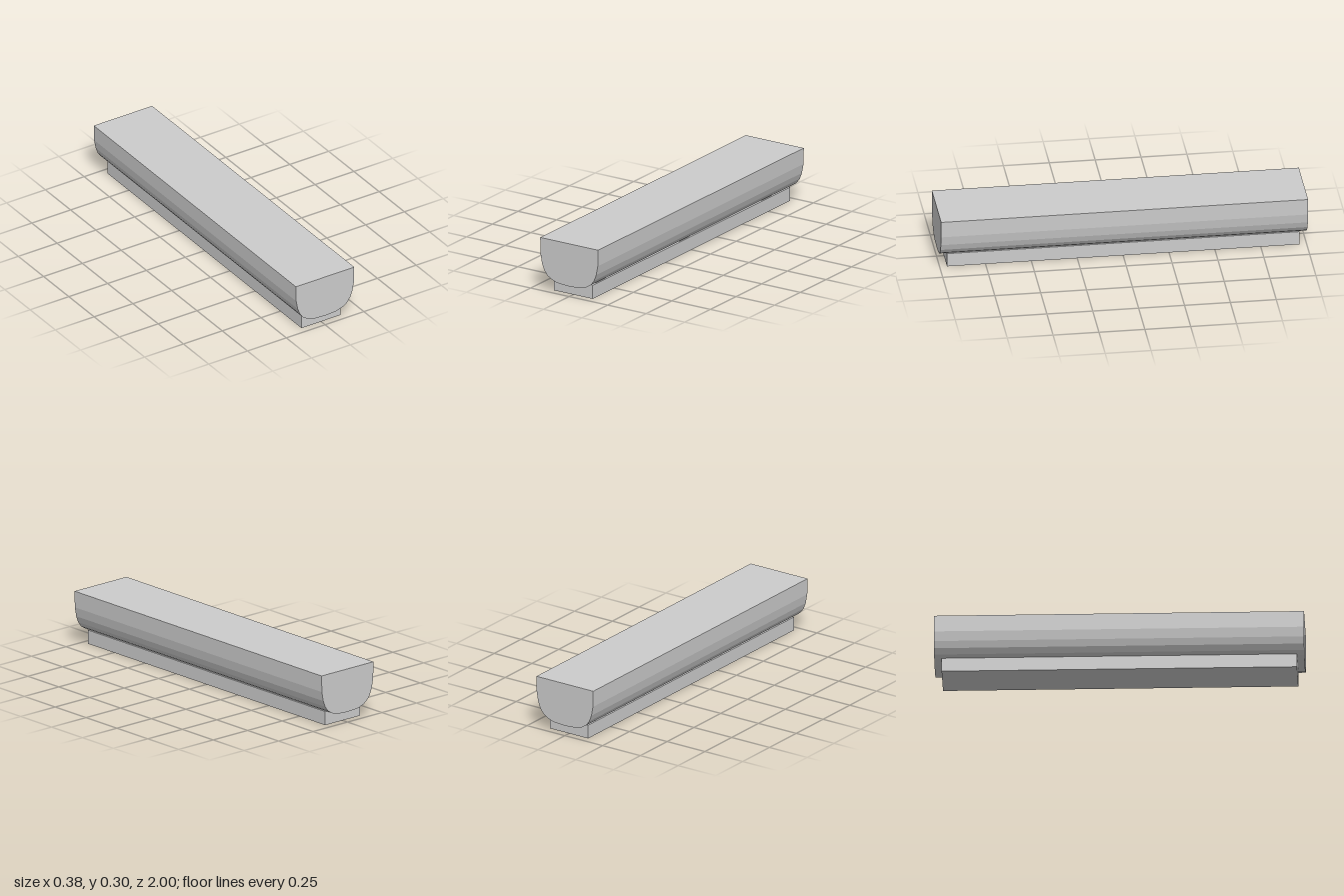
import * as THREE from 'three';

export function createModel() {
  const group = new THREE.Group();
  const grey = new THREE.MeshStandardMaterial({ color: 0xcccccc });
  grey.name = 'light grey';

  // Half cross-section of the rounded beam, from the top edge down to the middle
  const half = [
    [0.188, 0.302], [0.186, 0.21], [0.176, 0.157], [0.162, 0.121],
    [0.141, 0.093], [0.113, 0.075], [0.077, 0.063], [0.038, 0.06],
  ];
  const mirrored = half.map(([x, y]) => [-x, y]).reverse();
  const outline = [...half, [0, 0.058], ...mirrored];
  const shape = new THREE.Shape(outline.map(([x, y]) => new THREE.Vector2(x, y)));

  // Beam: flat top, faceted rounded underside
  const beamGeometry = new THREE.ExtrudeGeometry(shape, { depth: 2, bevelEnabled: false });
  beamGeometry.translate(0, 0, -1);
  const beam = new THREE.Mesh(beamGeometry, grey);
  beam.name = 'beam';
  group.add(beam);

  // Slightly shorter rectangular base strip
  const base = new THREE.Mesh(new THREE.BoxGeometry(0.252, 0.077, 1.92), grey);
  base.name = 'base';
  base.position.y = 0.0385;
  group.add(base);

  return group;
}
